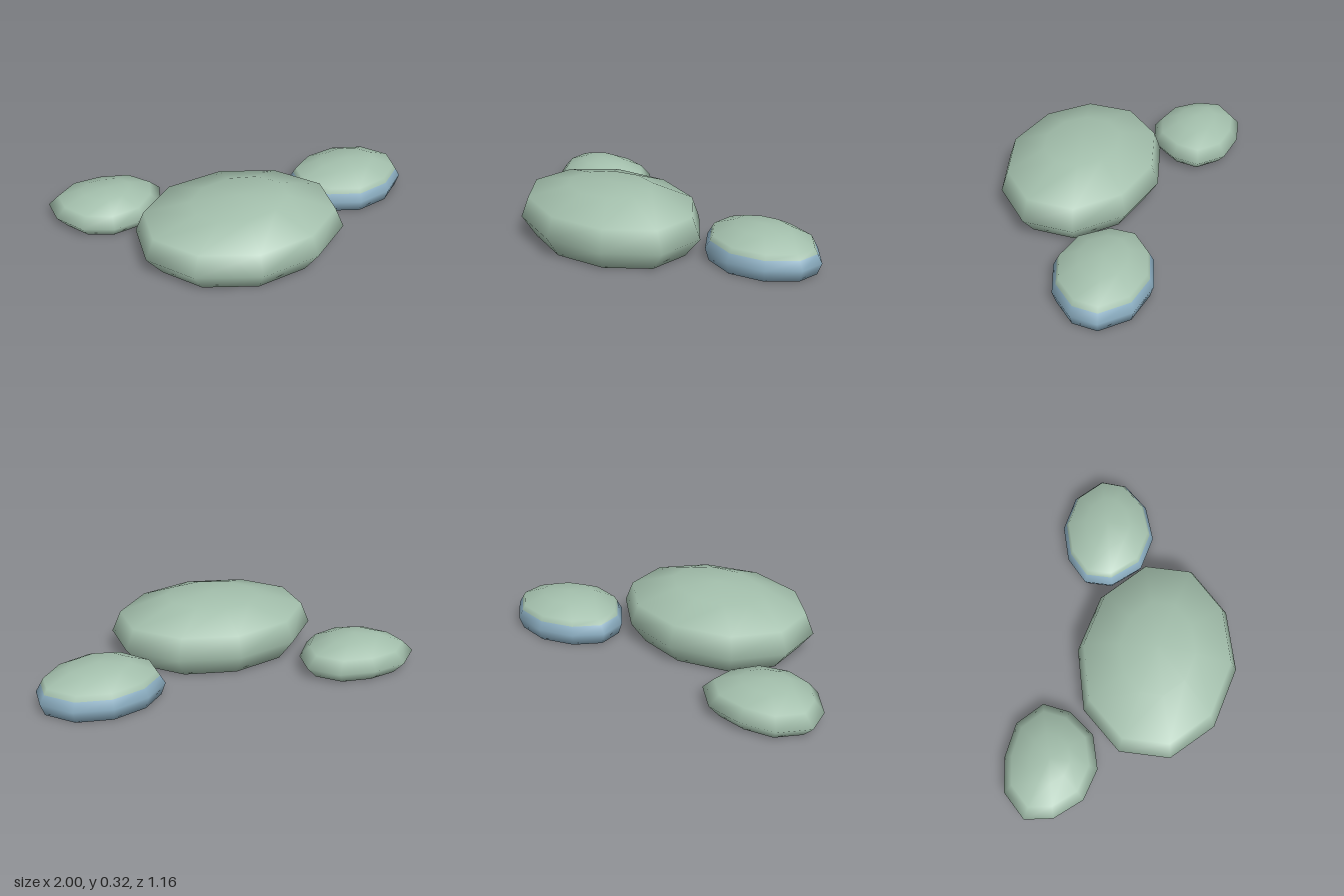
import * as THREE from 'three';

const mossGreen = new THREE.MeshStandardMaterial({ color: 0xa3bfac });
mossGreen.name = 'mossGreen';
const slateBlue = new THREE.MeshStandardMaterial({ color: 0x8fb2c6 });
slateBlue.name = 'slateBlue';

// A smooth ten-sided mound: the outline [x, z] runs clockwise seen from above and is
// scaled about the centre by each profile ring [scale, y], listed from base to crown.
// Bands below index blueBands take the blue material; tilt lifts the crown ring towards +x.
function mound(name, centre, outline, profile, blueBands = 0, tilt = 0) {
  const n = outline.length;
  const [cx, cz] = centre;
  const positions = [];
  for (const [scale, y] of profile) {
    for (const [x, z] of outline) {
      const lift = scale < 0.6 && y > 0.05 ? tilt * (x - cx) * scale : 0;
      positions.push(cx + (x - cx) * scale, y + lift, cz + (z - cz) * scale);
    }
  }
  // Rings of zero size share a single pole vertex
  const at = (ring, j) => ring * n + (profile[ring][0] === 0 ? 0 : j % n);
  const index = [];
  const geometry = new THREE.BufferGeometry();
  for (let i = 0; i < profile.length - 1; i++) {
    const start = index.length;
    for (let j = 0; j < n; j++) {
      const a = at(i, j), b = at(i, j + 1), c = at(i + 1, j), d = at(i + 1, j + 1);
      if (a !== b) index.push(a, c, b);
      if (c !== d) index.push(b, c, d);
    }
    geometry.addGroup(start, index.length - start, i < blueBands ? 1 : 0);
  }
  geometry.setAttribute('position', new THREE.Float32BufferAttribute(positions, 3));
  geometry.setIndex(index);
  geometry.computeVertexNormals();
  const mesh = new THREE.Mesh(geometry, [mossGreen, slateBlue]);
  mesh.name = name;
  return mesh;
}

export function createModel() {
  const group = new THREE.Group();
  group.name = 'lowMounds';

  // Large central mound
  group.add(mound('largeMound', [-0.065, 0.145],
    [[-0.065, -0.285], [0.255, -0.205], [0.47, 0.01], [0.47, 0.28], [0.255, 0.49],
      [-0.065, 0.575], [-0.395, 0.49], [-0.593, 0.28], [-0.593, 0.01], [-0.395, -0.205]],
    [[0, 0], [0.84, 0.003], [1, 0.115], [0.915, 0.227], [0.465, 0.302], [0, 0.325]], 0, 0.055));

  // Small mound at the back right
  group.add(mound('smallMound', [-0.69, -0.335],
    [[-0.69, -0.585], [-0.5, -0.555], [-0.375, -0.43], [-0.4, -0.28], [-0.51, -0.14],
      [-0.69, -0.09], [-0.86, -0.14], [-0.975, -0.28], [-1, -0.43], [-0.875, -0.555]],
    [[0, 0], [0.81, 0.001], [1, 0.065], [0.82, 0.122], [0.43, 0.165], [0, 0.18]]));

  // Small mound at the back left with a blue lower band
  group.add(mound('bandedMound', [0.678, -0.225],
    [[0.675, -0.48], [0.87, -0.44], [1, -0.305], [0.99, -0.165], [0.865, -0.03],
      [0.675, 0.035], [0.485, -0.01], [0.36, -0.16], [0.36, -0.31], [0.485, -0.425]],
    [[0, 0], [0.93, 0.001], [1, 0.065], [0.92, 0.11], [0.87, 0.137], [0.49, 0.188], [0, 0.203]], 3));

  return group;
}
